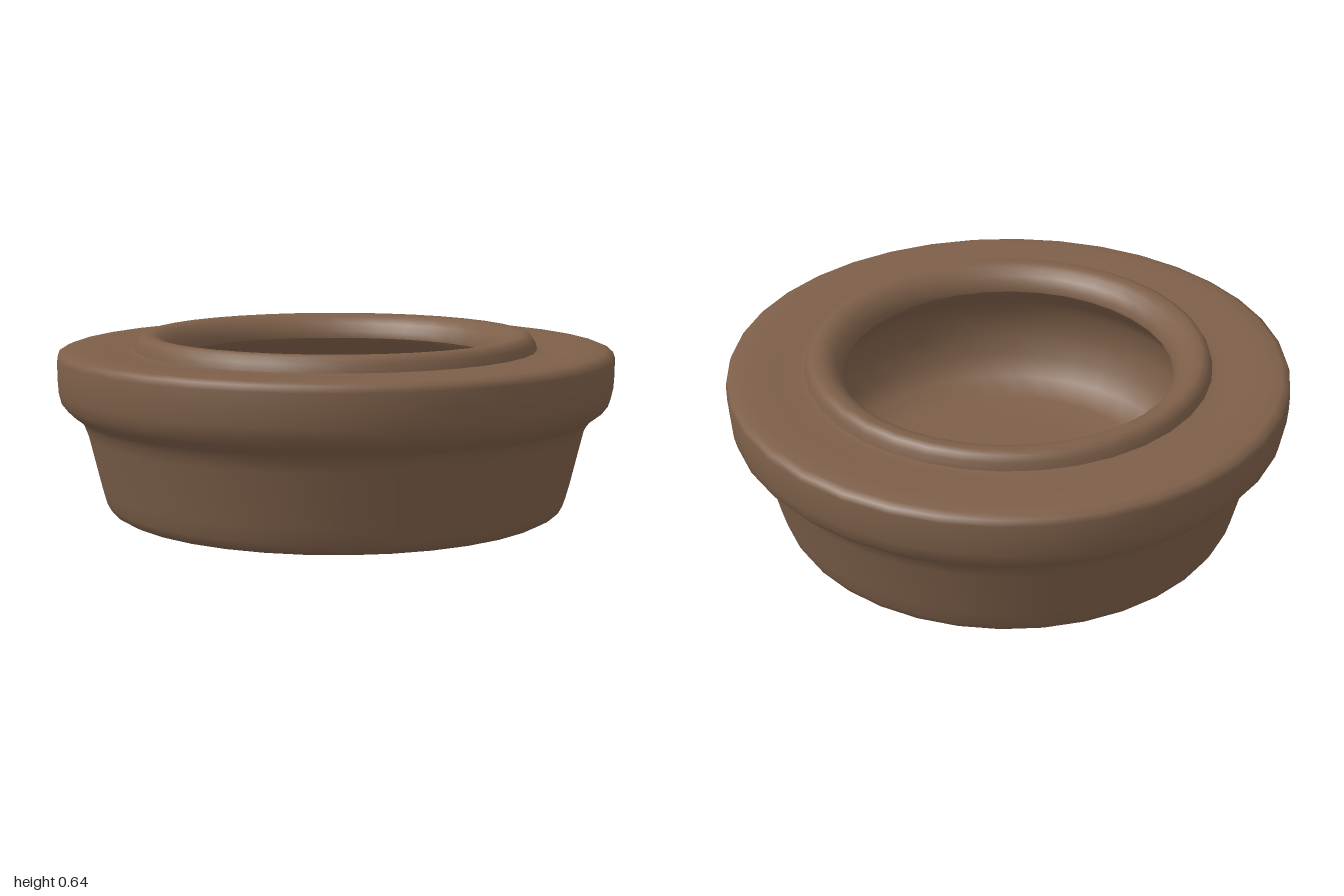
import * as THREE from 'three';

export function createModel() {
  const model = new THREE.Group();
  const clay = new THREE.MeshStandardMaterial({ color: 0x7d5f49 });
  clay.name = 'brown clay';

  // Revolve a profile of [radius, height] pairs
  function turn(name, profile) {
    const points = profile.map(([r, y]) => new THREE.Vector2(r, y));
    const mesh = new THREE.Mesh(new THREE.LatheGeometry(points, 36), clay);
    mesh.name = name;
    model.add(mesh);
  }

  // Flat base and tapered outer wall
  turn('outerBowl', [
    [0, 0], [0.76, 0], [0.795, 0.004], [0.82, 0.018], [0.835, 0.045],
    [0.85, 0.1], [0.895, 0.29], [0.91, 0.33], [0.925, 0.35],
  ]);

  // Thick overhanging rim with a slightly dished top
  turn('rim', [
    [0.925, 0.35], [0.965, 0.38], [0.988, 0.41], [0.997, 0.45], [1, 0.5],
    [1, 0.56], [0.993, 0.58], [0.97, 0.59], [0.92, 0.594],
    [0.83, 0.588], [0.75, 0.58], [0.725, 0.585],
  ]);

  // Raised lip around the opening
  turn('lip', [
    [0.725, 0.585], [0.718, 0.612], [0.705, 0.632], [0.685, 0.64],
    [0.66, 0.638], [0.635, 0.628], [0.61, 0.605], [0.592, 0.575], [0.59, 0.55],
  ]);

  // Hollow inside, undercut below the lip
  turn('innerBowl', [
    [0.59, 0.55], [0.61, 0.52], [0.67, 0.47], [0.72, 0.4], [0.73, 0.3],
    [0.71, 0.2], [0.66, 0.13], [0.56, 0.09], [0.4, 0.08], [0, 0.08],
  ]);

  return model;
}
